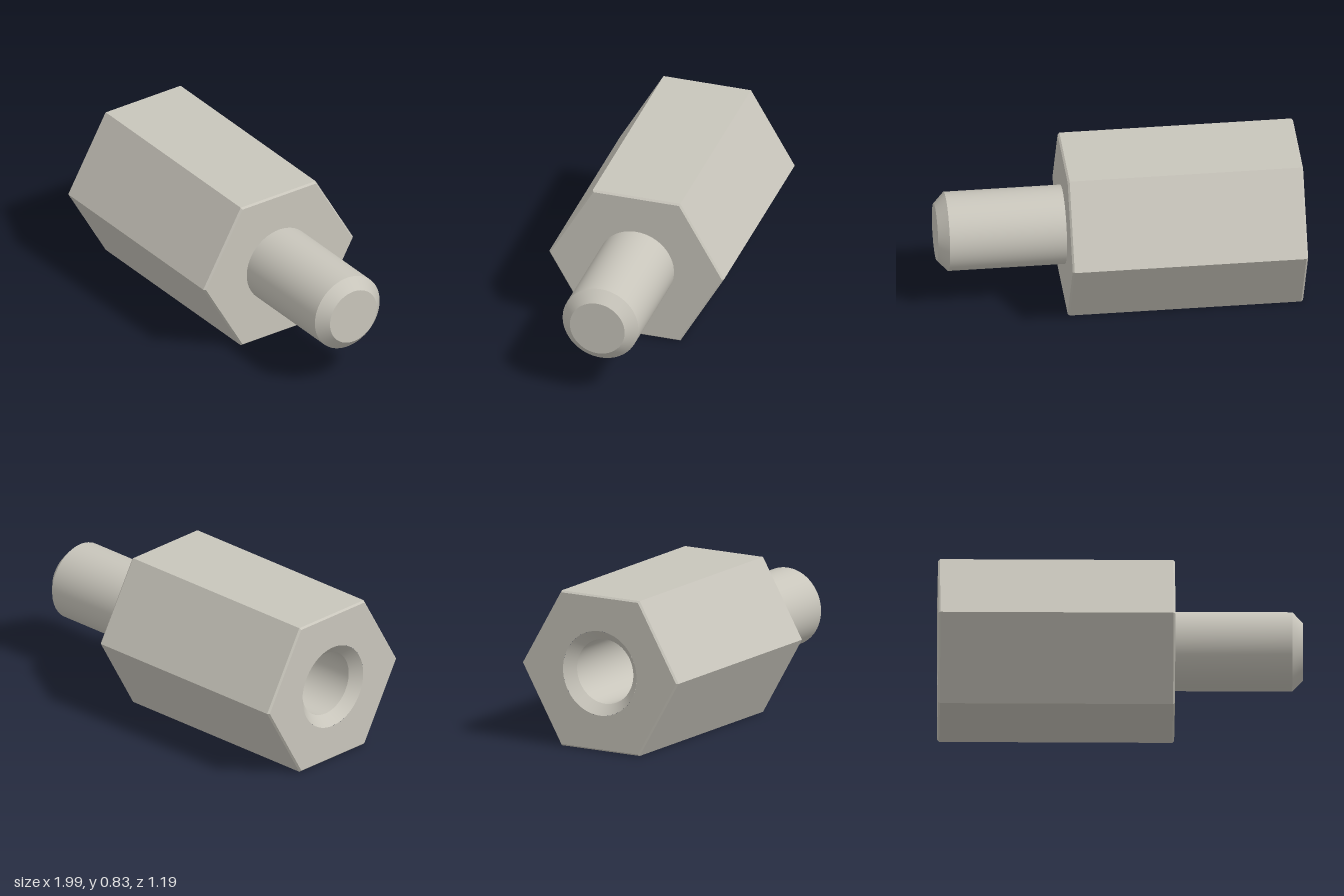
import * as THREE from 'three';
import { toCreasedNormals } from 'three/addons/utils/BufferGeometryUtils.js';

const R = 0.479;       // hexagon corner radius
const LENGTH = 1.237;  // hexagon body length
const EDGE = 0.01;     // small chamfer on the body ends
const STUD_R = 0.2075, STUD_LENGTH = 0.67;
const HOLE_R = 0.173, SINK_R = 0.226, SINK_DEPTH = 0.054, HOLE_DEPTH = 0.75;

export function createModel() {
  const metal = new THREE.MeshStandardMaterial({ color: 0xc8c5bb });
  metal.name = 'warm grey metal';

  // Parts are built along +y, then laid over along +x
  const spacer = new THREE.Group();
  spacer.name = 'hexStandoff';
  const add = (name, geometry) => {
    const mesh = new THREE.Mesh(toCreasedNormals(geometry, 0.4), metal);
    mesh.name = name;
    spacer.add(mesh);
  };
  const hexBand = (name, rTop, rBottom, y0, y1) => add(name,
    new THREE.CylinderGeometry(rTop, rBottom, y1 - y0, 6, 1, true).translate(0, (y0 + y1) / 2, 0));
  const lathe = (name, points) => add(name,
    new THREE.LatheGeometry(points.map(([r, y]) => new THREE.Vector2(r, y)), 64));
  const hexShape = (r) => new THREE.Shape(Array.from({ length: 6 }, (_, i) => {
    const a = -i * Math.PI / 3;
    return new THREE.Vector2(r * Math.sin(a), r * Math.cos(a));
  }));

  // Hexagonal body with a fine chamfer at each end
  hexBand('socketEndChamfer', R, R - EDGE, 0, EDGE);
  hexBand('hexBody', R, R, EDGE, LENGTH - EDGE);
  hexBand('studEndChamfer', R - EDGE, R, LENGTH - EDGE, LENGTH);

  // End faces
  const socketFace = hexShape(R - EDGE);
  socketFace.holes.push(new THREE.Path().absarc(0, 0, SINK_R, 0, Math.PI * 2, true));
  add('socketEndFace', new THREE.ShapeGeometry(socketFace, 64).rotateX(Math.PI / 2));
  add('studEndFace', new THREE.ShapeGeometry(hexShape(R - EDGE))
    .rotateX(-Math.PI / 2).translate(0, LENGTH, 0));

  // Countersunk blind hole, facing inward
  lathe('socketHole', [[0, HOLE_DEPTH], [HOLE_R, HOLE_DEPTH], [HOLE_R, SINK_DEPTH], [SINK_R, 0]]);

  // Stud with a chamfered tip
  const tip = LENGTH + STUD_LENGTH;
  lathe('stud', [[STUD_R, LENGTH], [STUD_R, tip - 0.056], [0.15, tip], [0, tip]]);

  spacer.rotation.z = -Math.PI / 2;

  const model = new THREE.Group();
  model.name = 'standoff';
  model.add(spacer);
  model.rotation.y = -0.208;
  model.position.set(-0.9, R * Math.cos(Math.PI / 6), -0.1315);

  const root = new THREE.Group();
  root.name = 'model';
  root.add(model);
  return root;
}
